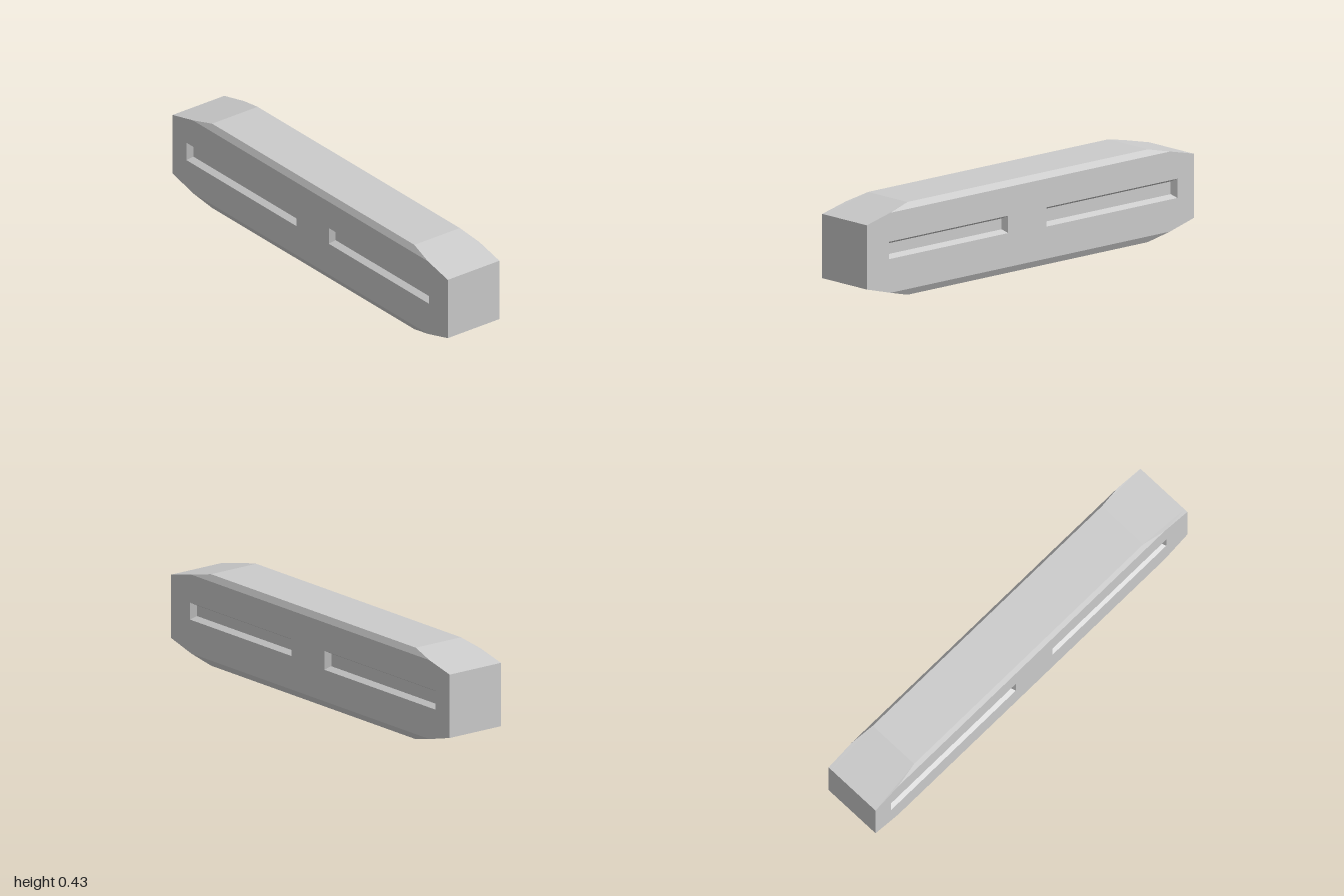
import * as THREE from 'three';
import { mergeGeometries } from 'three/addons/utils/BufferGeometryUtils.js';

const HALF = 0.1475;   // half width
const CORE = 0.13;     // half width where the edge chamfer begins
const DEPTH = 0.028;   // slot depth

// Symmetric eight-sided profile, counter-clockwise: u along the length, v up
const profile = (e, low, high) => [
  [-e, low], [e, low], [1, 0.071], [1, 0.368],
  [e, high], [-e, high], [-1, 0.368], [-1, 0.071],
];
const CORE_RING = profile(0.735, 0, 0.429);
const FACE_RING = profile(0.855, 0.032, 0.402);

// Slots as z start, z end, y bottom, y top
const SLOTS = [
  { name: 'frontSlot', z0: 0.135, z1: 0.865, y0: 0.189, y1: 0.269 },
  { name: 'rearSlot', z0: -0.9, z1: -0.1, y0: 0.18, y1: 0.269 },
];

// Counter-clockwise slot rectangle on side s (+1 or -1), shrunk by an inset
function slotRing({ z0, z1, y0, y1 }, s, inset) {
  const [a, b] = s > 0 ? [-z1, -z0] : [z0, z1];
  return [
    [a + inset, y0 + inset], [b - inset, y0 + inset],
    [b - inset, y1 - inset], [a + inset, y1 - inset],
  ];
}

// Wall of quads joining two rings at different depths
function band(ringA, depthA, ringB, depthB) {
  const pos = [];
  ringA.forEach((_, i) => {
    const j = (i + 1) % ringA.length;
    const a = [...ringA[i], depthA], b = [...ringA[j], depthA];
    const c = [...ringB[j], depthB], d = [...ringB[i], depthB];
    pos.push(...a, ...b, ...c, ...a, ...c, ...d);
  });
  const g = new THREE.BufferGeometry();
  g.setAttribute('position', new THREE.Float32BufferAttribute(pos, 3));
  g.computeVertexNormals();
  return g;
}

// Flat face with optional holes
function face(ring, depth, holes = []) {
  const toPoints = (r) => r.map(([u, v]) => new THREE.Vector2(u, v));
  const shape = new THREE.Shape(toPoints(ring));
  holes.forEach((h) => shape.holes.push(new THREE.Path(toPoints(h))));
  const g = new THREE.ShapeGeometry(shape).toNonIndexed();
  g.deleteAttribute('uv');
  return g.translate(0, 0, depth);
}

export function createModel() {
  const model = new THREE.Group();
  model.name = 'slottedBar';
  const material = new THREE.MeshStandardMaterial({ color: 0xcccccc, flatShading: true });

  const add = (name, parts, s) => {
    const mesh = new THREE.Mesh(mergeGeometries(parts).rotateY((s * Math.PI) / 2), material);
    mesh.name = name;
    model.add(mesh);
  };

  for (const s of [1, -1]) {
    const side = s > 0 ? 'left' : 'right';

    // Half of the bar: outer wall, chamfer and slotted side face
    add(`${side}Body`, [
      band(CORE_RING, 0, CORE_RING, CORE),
      band(CORE_RING, CORE, FACE_RING, HALF),
      face(FACE_RING, HALF, SLOTS.map((slot) => slotRing(slot, s, 0))),
    ], s);

    // Recessed slots with slightly tapered walls
    for (const slot of SLOTS) {
      const rim = slotRing(slot, s, 0);
      const floor = slotRing(slot, s, 0.015);
      add(`${side}_${slot.name}`, [
        band(rim, HALF, floor, HALF - DEPTH),
        face(floor, HALF - DEPTH),
      ], s);
    }
  }
  return model;
}
